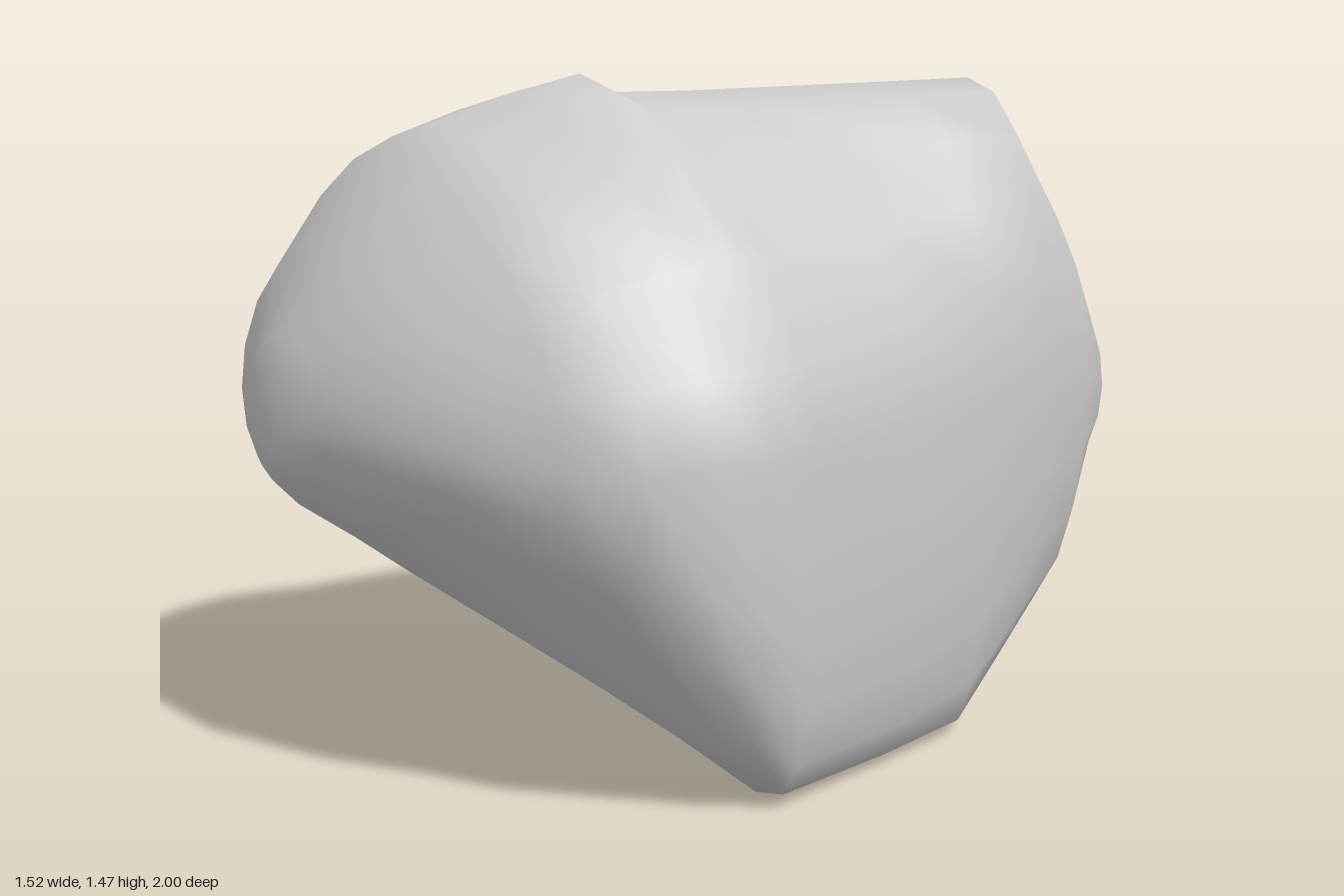
import * as THREE from 'three';

// Cross-sections of the boulder from back to front:
// z, left x, right x, bottom y, top y, x of lowest point, x of highest point, y of left side, y of right side,
// then the fullness of the upper right, lower right and lower left quarters
const SECTIONS = [
  [-0.92, -0.07, 0.41, 0.48, 0.98, 0.22, 0.20, 0.68, 0.72, 2.0, 2.0, 1.8],
  [-0.72, -0.32, 0.54, 0.23, 1.22, 0.36, 0.28, 0.72, 0.78, 2.0, 2.0, 1.6],
  [-0.52, -0.44, 0.60, 0.11, 1.46, 0.42, 0.33, 0.72, 0.80, 2.0, 2.1, 1.5],
  [-0.33, -0.54, 0.63, 0.00, 1.45, 0.48, 0.22, 0.72, 0.80, 2.0, 2.4, 1.45],
  [-0.05, -0.67, 0.69, 0.00, 1.43, 0.51, -0.10, 0.72, 0.78, 1.9, 2.9, 1.45],
  [0.27, -0.73, 0.74, 0.01, 1.43, 0.56, 0.05, 0.71, 0.75, 1.65, 3.3, 1.5],
  [0.39, -0.75, 0.76, 0.12, 1.47, 0.47, 0.11, 0.72, 0.75, 1.6, 3.3, 1.7],
  [0.51, -0.76, 0.74, 0.23, 1.43, 0.33, 0.03, 0.73, 0.75, 1.6, 3.2, 1.9],
  [0.65, -0.71, 0.71, 0.36, 1.37, 0.08, -0.05, 0.75, 0.74, 1.6, 2.6, 2.3],
  [0.74, -0.66, 0.58, 0.44, 1.32, -0.06, -0.08, 0.76, 0.74, 1.65, 2.3, 2.4],
  [0.86, -0.59, 0.42, 0.53, 1.14, -0.14, -0.10, 0.76, 0.76, 1.8, 2.1, 2.4],
  [0.985, -0.28, 0.12, 0.63, 0.95, -0.12, -0.10, 0.78, 0.78, 1.9, 2.0, 2.0],
];
const UPPER_LEFT_FULLNESS = 1.8;
const AROUND = 20;

// A point on a section: four rounded quarters, each with its own fullness
function sectionPoint(section, i) {
  const [z, left, right, bottom, top, lowX, highX, leftY, rightY, upperRight, lowerRight, lowerLeft] = section;
  const a = (i / AROUND) * Math.PI * 2;
  const c = Math.cos(a), s = Math.sin(a);
  const upper = s >= 0, rightSide = c >= 0;
  const upperFullness = rightSide ? upperRight : UPPER_LEFT_FULLNESS;
  const lowerFullness = rightSide ? lowerRight : lowerLeft;
  const power = 2 / (upper ? upperFullness : lowerFullness);
  const midX = upper ? highX : lowX;
  const midY = rightSide ? rightY : leftY;
  return [
    midX + ((rightSide ? right : left) - midX) * Math.abs(c) ** power,
    midY + ((upper ? top : bottom) - midY) * Math.abs(s) ** power,
    z,
  ];
}

function boulderGeometry() {
  const positions = [], index = [];
  for (const section of SECTIONS) {
    for (let i = 0; i < AROUND; i++) positions.push(...sectionPoint(section, i));
  }
  // Skin between neighbouring sections
  for (let r = 0; r < SECTIONS.length - 1; r++) {
    for (let i = 0; i < AROUND; i++) {
      const a = r * AROUND + i, b = r * AROUND + ((i + 1) % AROUND);
      const c = a + AROUND, d = b + AROUND;
      index.push(a, b, d, a, d, c);
    }
  }
  // Close the blunt back and front ends
  const back = SECTIONS.length * AROUND, front = back + 1;
  const last = (SECTIONS.length - 1) * AROUND;
  positions.push(0.17, 0.58, -1, -0.12, 0.72, 1);
  for (let i = 0; i < AROUND; i++) {
    const j = (i + 1) % AROUND;
    index.push(back, j, i, front, last + i, last + j);
  }
  const geometry = new THREE.BufferGeometry();
  geometry.setAttribute('position', new THREE.Float32BufferAttribute(positions, 3));
  geometry.setIndex(index);
  geometry.computeVertexNormals();
  return geometry;
}

export function createModel() {
  const group = new THREE.Group();
  group.name = 'rock';
  const boulder = new THREE.Mesh(
    boulderGeometry(),
    new THREE.MeshStandardMaterial({ color: 0xcccccc }),
  );
  boulder.name = 'boulder';
  group.add(boulder);
  return group;
}
